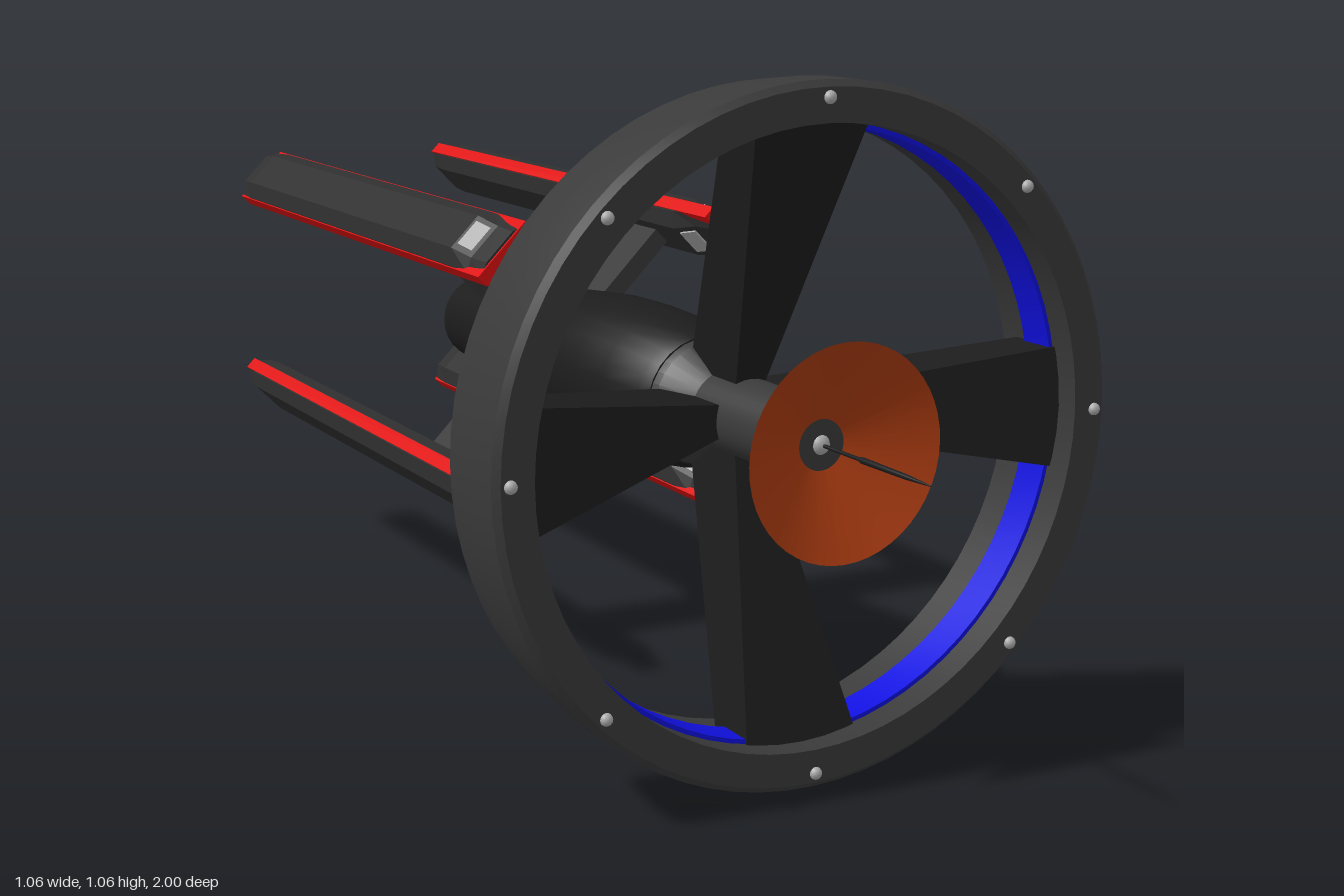
import * as THREE from 'three';
import { toCreasedNormals } from 'three/addons/utils/BufferGeometryUtils.js';

const mat = (color, extra = {}) => new THREE.MeshStandardMaterial({ color, ...extra });
const M = {
  grey: mat(0x3a3a3a), black: mat(0x1c1c1c), flatGrey: mat(0x303030, { flatShading: true }),
  flatBlack: mat(0x1c1c1c, { flatShading: true }), red: mat(0xe01010), blue: mat(0x1010e0),
  orange: mat(0xa83a10, { side: THREE.DoubleSide }), light: mat(0xaaaaaa),
};

function add(parent, name, geometry, material, x = 0, y = 0, z = 0) {
  const mesh = new THREE.Mesh(geometry, material);
  mesh.name = name;
  mesh.position.set(x, y, z);
  parent.add(mesh);
  return mesh;
}

// Solid of revolution about the z axis; profile is [radius, z]
function turned(profile, segments) {
  const g = new THREE.LatheGeometry(profile.map(([r, z]) => new THREE.Vector2(r, z)), segments);
  return toCreasedNormals(g.rotateX(Math.PI / 2), 0.5);
}

// Closed skin through matching rings of [x, y, z] points
function loft(rings) {
  const n = rings[0].length, out = [];
  const tri = (...p) => p.forEach((q) => out.push(...q));
  for (let i = 0; i < rings.length - 1; i++) {
    for (let j = 0; j < n; j++) {
      const k = (j + 1) % n, a = rings[i], b = rings[i + 1];
      tri(a[j], a[k], b[k]);
      tri(a[j], b[k], b[j]);
    }
  }
  const first = rings[0], last = rings[rings.length - 1];
  for (let j = 1; j < n - 1; j++) {
    tri(first[0], first[j + 1], first[j]);
    tri(last[0], last[j], last[j + 1]);
  }
  const g = new THREE.BufferGeometry();
  g.setAttribute('position', new THREE.Float32BufferAttribute(out, 3));
  g.computeVertexNormals();
  return g;
}

// Octagonal nacelle section: half width w, half height h
const octagon = (w, h, z) => {
  const s = w * 0.6, e = h * 0.4;
  return [[w, -e], [w, e], [s, h], [-s, h], [-w, e], [-w, -e], [-s, -h], [s, -h]]
    .map(([x, y]) => [x, y, z]);
};

function createNacelle() {
  const g = new THREE.Group();
  g.name = 'nacelle';
  add(g, 'nacelleHull', loft([
    octagon(0.056, 0.03, -0.996), octagon(0.059, 0.034, -0.95), octagon(0.059, 0.034, 0.02),
    octagon(0.058, 0.019, 0.075), octagon(0.056, 0.016, 0.126),
  ]), M.flatGrey);
  add(g, 'nacelleStripe', new THREE.BoxGeometry(0.122, 0.024, 1.13), M.red, 0, 0, -0.435);
  for (const s of [1, -1]) {
    const win = add(g, 'nacelleWindow', new THREE.BoxGeometry(0.05, 0.006, 0.04), M.light, 0, s * 0.0265, 0.049);
    win.rotation.x = s * 0.27;
  }
  return g;
}

export function createModel() {
  const model = new THREE.Group();
  model.name = 'spacecraft';
  const craft = new THREE.Group();
  craft.name = 'craft';
  craft.position.y = 0.535;
  model.add(craft);

  // Front ring with glowing inner band and bolts on both faces
  add(craft, 'ring', turned([
    [0.47, 0.568], [0.515, 0.568], [0.522, 0.574], [0.532, 0.66], [0.532, 0.728],
    [0.522, 0.738], [0.47, 0.738], [0.47, 0.568],
  ], 72), M.grey);
  add(craft, 'innerBand', turned([
    [0.472, 0.63], [0.472, 0.69], [0.463, 0.69], [0.463, 0.63], [0.472, 0.63],
  ], 72), M.blue);
  const boltGeo = new THREE.SphereGeometry(0.01, 12, 8);
  for (let i = 0; i < 8; i++) {
    const a = (i * Math.PI) / 4;
    for (const z of [0.738, 0.568]) {
      add(craft, 'bolt', boltGeo, M.light, 0.507 * Math.cos(a), 0.507 * Math.sin(a), z);
    }
  }

  // Swept spokes, widening towards the ring
  const spokeRing = (r, w, front, back) => [[w, r, front], [w, r, back], [-w, r, back], [-w, r, front]];
  const spokeGeo = loft([spokeRing(0.03, 0.022, 0.53, 0.39), spokeRing(0.472, 0.098, 0.7, 0.61)]);
  for (let i = 0; i < 4; i++) {
    add(craft, 'spoke', spokeGeo, M.flatBlack).rotation.z = (i * Math.PI) / 2;
  }

  // Hub shaft, dish and antenna
  add(craft, 'hubShaft', turned([[0, 0.39], [0.105, 0.39], [0.1, 0.42], [0.063, 0.47], [0.06, 0.735], [0, 0.735]], 32), M.grey);
  add(craft, 'dish', turned([[0, 0.715], [0.165, 0.8]], 48), M.orange);
  add(craft, 'antennaBase', new THREE.SphereGeometry(0.017, 16, 12), M.light, 0, 0, 0.727);
  add(craft, 'antenna', turned([[0, 0.72], [0.003, 0.72], [0.003, 0.83], [0.005, 0.84], [0.004, 0.945], [0.001, 1], [0, 1]], 10), M.black);

  // Body, tapering to the tail
  add(craft, 'body', turned([
    [0, -0.42], [0.05, -0.42], [0.065, -0.425], [0.077, -0.42], [0.083, -0.36], [0.098, -0.18],
    [0.118, 0.02], [0.127, 0.12], [0.129, 0.2], [0.126, 0.29], [0.113, 0.385], [0.105, 0.405], [0, 0.405],
  ], 28), M.black);
  add(craft, 'tailGlow', turned([[0, -0.432], [0.058, -0.432], [0.058, -0.415]], 28), M.blue);
  add(craft, 'tailCone', turned([[0, -0.475], [0.036, -0.475], [0.05, -0.42]], 20), M.black);

  // Tail lamp in alternating red and pale segments
  for (let i = 0; i < 8; i++) {
    const a = ((i - 0.5) * Math.PI) / 4;
    const geo = new THREE.SphereGeometry(0.033, 4, 12, a, Math.PI / 4).rotateX(Math.PI / 2);
    add(craft, 'tailLamp', geo, i % 2 ? M.light : M.red, 0, 0, -0.467);
  }

  // Four diagonal pylons carrying the long nacelles
  for (let i = 0; i < 4; i++) {
    const arm = new THREE.Group();
    arm.name = 'nacelleArm';
    arm.rotation.z = Math.PI / 4 + (i * Math.PI) / 2;
    craft.add(arm);
    add(arm, 'pylon', new THREE.BoxGeometry(0.033, 0.22, 0.14), M.grey, 0, 0.17, -0.135);
    const nacelle = createNacelle();
    nacelle.position.y = 0.302;
    arm.add(nacelle);
  }
  return model;
}
